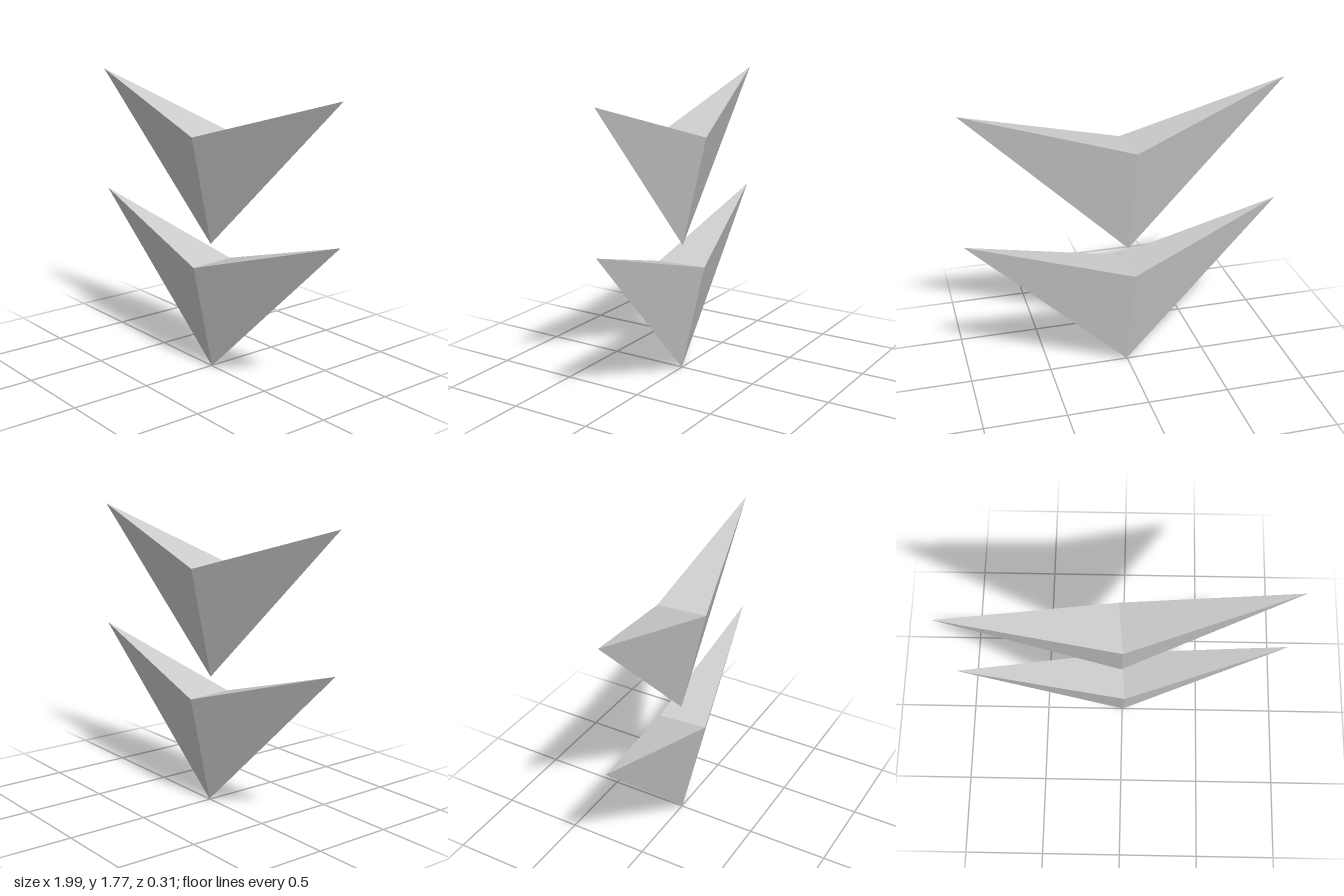
import * as THREE from 'three';

// One half of a chevron wing per side; the second half is the first turned by 180 degrees
function chevronGeometry(span, tipY, midY, depth) {
  const points = [];
  for (const s of [1, -1]) {
    const base = [0, 0, 0];
    const tip = [s * span, tipY, 0];
    const front = [0, midY, s * depth];
    const back = [0, midY, -s * depth];
    points.push(
      ...base, ...tip, ...front, // front face
      ...base, ...back, ...tip,  // back face
      ...front, ...tip, ...back  // sloping top face
    );
  }
  const geometry = new THREE.BufferGeometry();
  geometry.setAttribute('position', new THREE.Float32BufferAttribute(points, 3));
  geometry.computeVertexNormals();
  return geometry;
}

export function createModel() {
  const group = new THREE.Group();
  group.name = 'stackedChevrons';

  const grey = new THREE.MeshStandardMaterial({ color: 0xcccccc });
  grey.name = 'light grey';

  const geometry = chevronGeometry(0.995, 0.978, 0.675, 0.154);

  // Two identical chevrons, one above the other, both turned slightly
  for (const [name, x, y] of [['lowerChevron', 0.005, 0], ['upperChevron', -0.007, 0.792]]) {
    const chevron = new THREE.Mesh(geometry, grey);
    chevron.name = name;
    chevron.position.set(x, y, 0);
    chevron.rotation.y = 0.095;
    group.add(chevron);
  }
  return group;
}
